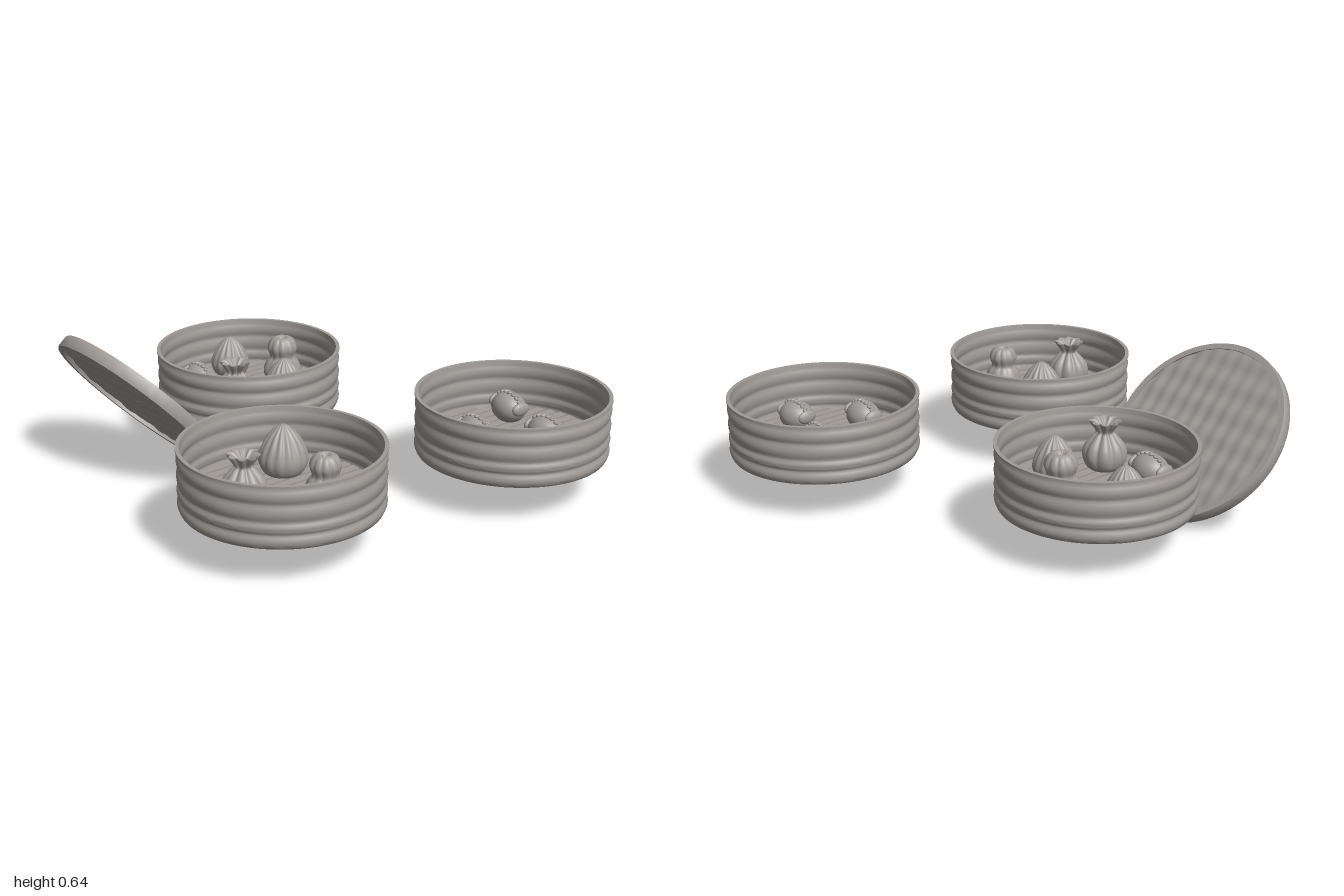
import * as THREE from 'three';
import { mergeVertices, toCreasedNormals } from 'three/addons/utils/BufferGeometryUtils.js';

const FLOOR = 0.235;
const V = (x, y) => new THREE.Vector2(x, y);

export function createModel() {
  const model = new THREE.Group();
  const grey = new THREE.MeshStandardMaterial({ color: 0xa09b97 });
  grey.name = 'warm grey';

  const add = (parent, name, geometry, x = 0, y = 0, z = 0) => {
    const mesh = new THREE.Mesh(geometry, grey);
    mesh.name = name;
    mesh.position.set(x, y, z);
    parent.add(mesh);
    return mesh;
  };

  // Basket wall: four bulging hoops outside and inside, with a thin rim on top
  const wallPoints = [V(0.388, 0.18), V(0.398, 0.18)];
  const levels = [0.18, 0.235, 0.285, 0.355, 0.418];
  const bulge = (a, b, r, depth) => {
    for (let i = 0; i <= 6; i++) {
      const t = i / 6;
      wallPoints.push(V(r + depth * Math.sin(Math.PI * t), a + (b - a) * t));
    }
  };
  for (let i = 0; i < 4; i++) bulge(levels[i] + 0.001, levels[i + 1] - 0.001, 0.399, 0.009);
  wallPoints.push(V(0.4, 0.425), V(0.41, 0.427), V(0.41, 0.435), V(0.394, 0.435), V(0.392, 0.42));
  for (let i = 3; i >= 0; i--) bulge(levels[i + 1] - 0.001, levels[i] + 0.001, 0.392, -0.007);
  wallPoints.push(V(0.388, 0.18));
  const wall = toCreasedNormals(new THREE.LatheGeometry(wallPoints, 96), 0.55);

  // Underside faces down only
  const base = new THREE.CircleGeometry(0.395, 96).rotateX(Math.PI / 2);

  function basket(x, z) {
    const group = new THREE.Group();
    group.name = 'steamerBasket';
    group.position.set(x, 0, z);
    add(group, 'basketWall', wall);
    add(group, 'basketBase', base, 0, 0.186, 0);
    // Floor slats on wider, lower boards
    const pitch = 0.05;
    for (let i = -7; i <= 7; i++) {
      const sx = i * pitch;
      const length = 2 * Math.sqrt(0.378 ** 2 - (Math.abs(sx) + 0.005) ** 2);
      add(group, 'floorBoard', new THREE.BoxGeometry(pitch, 0.01, length), sx, 0.209, 0);
      add(group, 'floorSlat', new THREE.BoxGeometry(0.038, 0.02, length), sx, FLOOR - 0.01, 0);
    }
    model.add(group);
  }
  basket(-0.587, -0.053);
  basket(0.405, 0.535);
  basket(0.585, -0.545);

  // Round dumpling with pleats: a lathe whose radius ripples more towards the top
  function pleated(points, folds, depth, twist) {
    const profile = new THREE.SplineCurve(points.map(p => V(...p))).getPoints(32);
    profile.forEach(p => { p.x = Math.max(p.x, 0); });
    let g = new THREE.LatheGeometry(profile, 80);
    const p = g.attributes.position;
    const height = Math.max(...profile.map(q => q.y));
    for (let i = 0; i < p.count; i++) {
      const t = Math.max(p.getY(i) / height, 0);
      const angle = Math.atan2(p.getZ(i), p.getX(i));
      const wave = Math.abs(Math.cos((folds * angle) / 2 + twist * t)) - 0.6;
      const k = 1 + depth * wave * Math.min(1, t * 1.4);
      p.setX(i, p.getX(i) * k);
      p.setZ(i, p.getZ(i) * k);
    }
    g.deleteAttribute('uv');
    g.deleteAttribute('normal');
    g = mergeVertices(g, 1e-5);
    g.computeVertexNormals();
    return g;
  }

  // Pointed bun
  const bun = pleated([[0, 0], [0.07, 0.003], [0.097, 0.05], [0.088, 0.105],
    [0.055, 0.165], [0.02, 0.2], [0, 0.207]], 14, 0.16, 0.8);
  // Bun with a round head and a star-shaped dimple
  const headed = pleated([[0, 0], [0.065, 0.003], [0.087, 0.045], [0.072, 0.09], [0.055, 0.115],
    [0.066, 0.155], [0.052, 0.192], [0.03, 0.205], [0.016, 0.198], [0, 0.182]], 10, 0.1, 0);
  // Pouch with a tied neck and a frilled collar
  const pouch = pleated([[0, 0], [0.065, 0.003], [0.088, 0.05], [0.078, 0.1], [0.046, 0.142],
    [0.034, 0.16], [0.05, 0.187], [0.06, 0.206], [0.045, 0.2], [0.02, 0.18], [0, 0.175]], 8, 0.3, 0);

  const buns = [
    ['pointedBun', bun, 0.265, 0.42, 1],
    ['pointedBun', bun, -0.8, -0.105, 0.87],
    ['pointedBun', bun, -0.395, -0.105, 0.89],
    ['headedBun', headed, -0.585, -0.245, 1],
    ['headedBun', headed, 0.575, 0.46, 0.93],
    ['frilledPouch', pouch, -0.45, 0.125, 1],
    ['frilledPouch', pouch, 0.405, 0.72, 1],
  ];
  for (const [name, geometry, x, z, s] of buns) add(model, name, geometry, x, FLOOR, z).scale.setScalar(s);

  // Oval dumpling with a crimped seam over the top and pinched ends
  const body = new THREE.SphereGeometry(1, 32, 20).scale(0.084, 0.066, 0.068);
  const seamPoints = [];
  for (let i = 0; i <= 44; i++) {
    const t = (Math.PI * i) / 44;
    const side = 0.01 * Math.sin((i * Math.PI) / 2);
    seamPoints.push(new THREE.Vector3(0.086 * Math.cos(t), 0.068 * Math.sin(t), side));
  }
  const seam = new THREE.TubeGeometry(new THREE.CatmullRomCurve3(seamPoints), 132, 0.007, 6);
  const pinch = new THREE.SphereGeometry(1, 16, 12).scale(0.018, 0.03, 0.045);
  for (const [x, z, turn] of [[-0.695, 0.14, 0], [0.445, -0.67, -0.1], [0.74, -0.585, 0.05], [0.55, -0.365, 0]]) {
    const group = new THREE.Group();
    group.name = 'ovalDumpling';
    group.position.set(x, FLOOR + 0.064, z);
    group.rotation.y = turn;
    add(group, 'dumplingBody', body);
    add(group, 'crimpedSeam', seam);
    for (const s of [-1, 1]) add(group, 'pinchedEnd', pinch, s * 0.077, 0.012, 0);
    model.add(group);
  }

  // Lid leaning forward: hoop plus two woven faces
  const lid = new THREE.Group();
  lid.name = 'lid';
  lid.position.set(-0.585, 0.326, 0.54);
  lid.rotation.x = -0.838;
  const hoop = new THREE.LatheGeometry([V(0.38, -0.028), V(0.406, -0.028), V(0.409, -0.022), V(0.409, 0.022),
    V(0.406, 0.028), V(0.38, 0.028), V(0.38, -0.028)], 96);
  add(lid, 'lidHoop', toCreasedNormals(hoop, 0.6));
  const weave = new THREE.RingGeometry(0.0005, 0.382, 128, 40);
  const w = weave.attributes.position;
  const k = Math.PI / 0.07;
  for (let i = 0; i < w.count; i++) {
    const x = w.getX(i), y = w.getY(i);
    w.setZ(i, 0.005 * Math.sin(k * (x + 0.6 * y)) * Math.sin(k * (x - 0.6 * y)));
  }
  weave.computeVertexNormals();
  add(lid, 'wovenTop', weave, 0, 0.022, 0).rotation.x = -Math.PI / 2;
  add(lid, 'wovenUnderside', weave, 0, -0.012, 0).rotation.x = Math.PI / 2;
  model.add(lid);

  return model;
}
